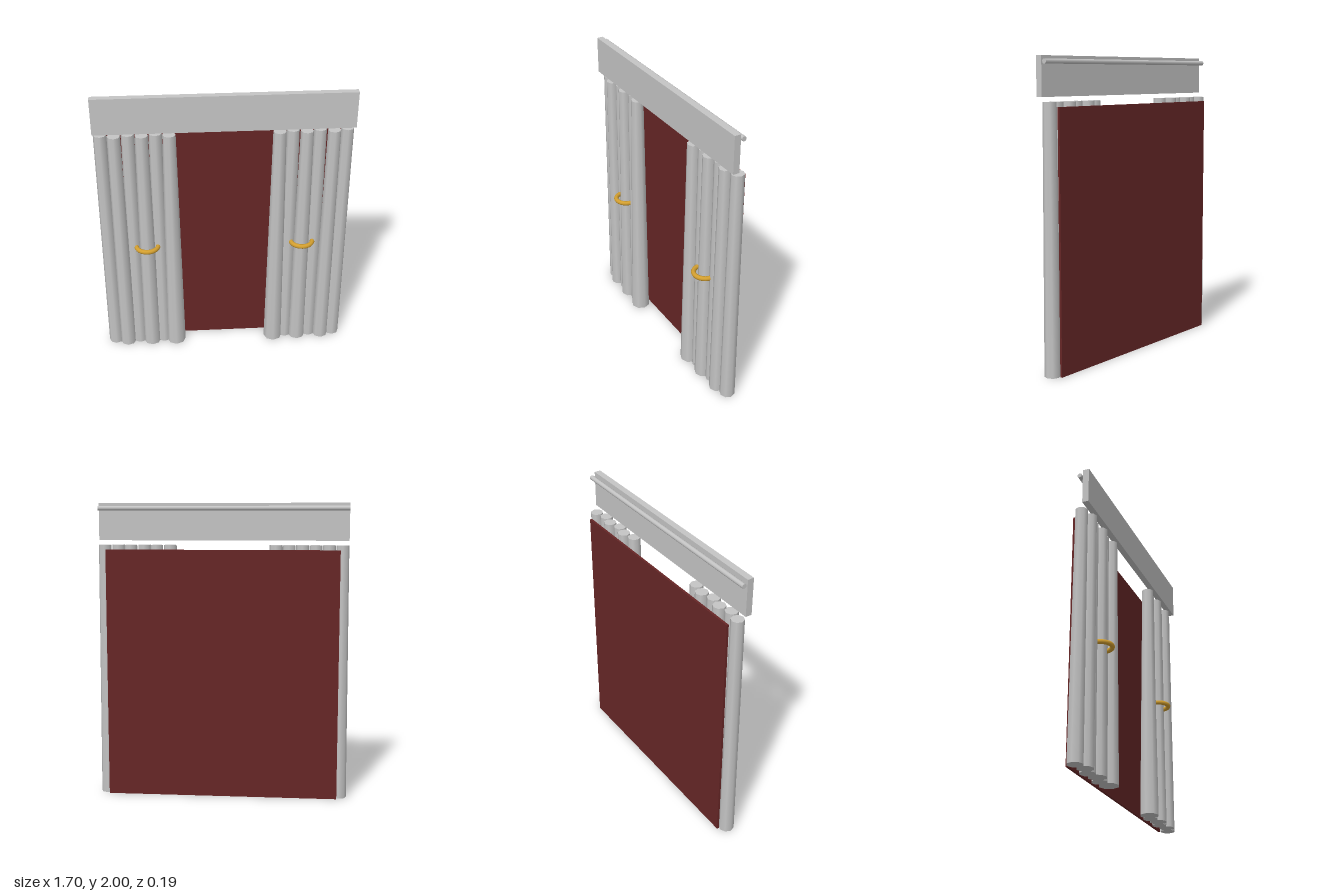
import * as THREE from 'three';

export function createModel() {
  const group = new THREE.Group();
  const material = (name, color) => {
    const m = new THREE.MeshStandardMaterial({ color });
    m.name = name;
    return m;
  };
  const fabric = material('greyFabric', 0xc4c4c4);
  const red = material('darkRed', 0x662626);
  const gold = material('gold', 0xd4a030);

  const add = (name, geometry, mat, x, y, z, parent = group) => {
    const mesh = new THREE.Mesh(geometry, mat);
    mesh.name = name;
    mesh.position.set(x, y, z);
    parent.add(mesh);
    return mesh;
  };

  // Valance board, the rod behind it and the back cloth
  add('valance', new THREE.BoxGeometry(1.69, 0.25, 0.043), fabric, 0, 1.875, 0.0145);
  add('rod', new THREE.CylinderGeometry(0.016, 0.016, 1.69, 10), fabric, 0, 1.965, -0.03)
    .rotation.z = Math.PI / 2;
  add('backCloth', new THREE.BoxGeometry(1.57, 1.69, 0.015), red, 0, 0.845, -0.0875);

  // Two curtains of six tapered folds, every second fold set forward
  const height = 1.72;
  const bottomRadii = [0.052, 0.055, 0.052, 0.06, 0.052, 0.066];
  for (const side of [-1, 1]) {
    const curtain = new THREE.Group();
    curtain.name = side > 0 ? 'leftCurtain' : 'rightCurtain';
    group.add(curtain);
    bottomRadii.forEach((radius, i) => {
      const x = side * (0.8 - i * 0.0886);
      const z = i % 2 ? -0.004 : -0.029;
      add('fold', new THREE.CylinderGeometry(0.043, radius, height, 8), fabric,
        x, height / 2, z, curtain);
    });

    // Tieback ring around the middle folds
    add('tiebackRing', new THREE.TorusGeometry(0.075, 0.016, 8, 24), gold,
      side * 0.534, 0.857, 0.004, curtain).rotation.x = Math.PI / 2;
  }
  return group;
}
